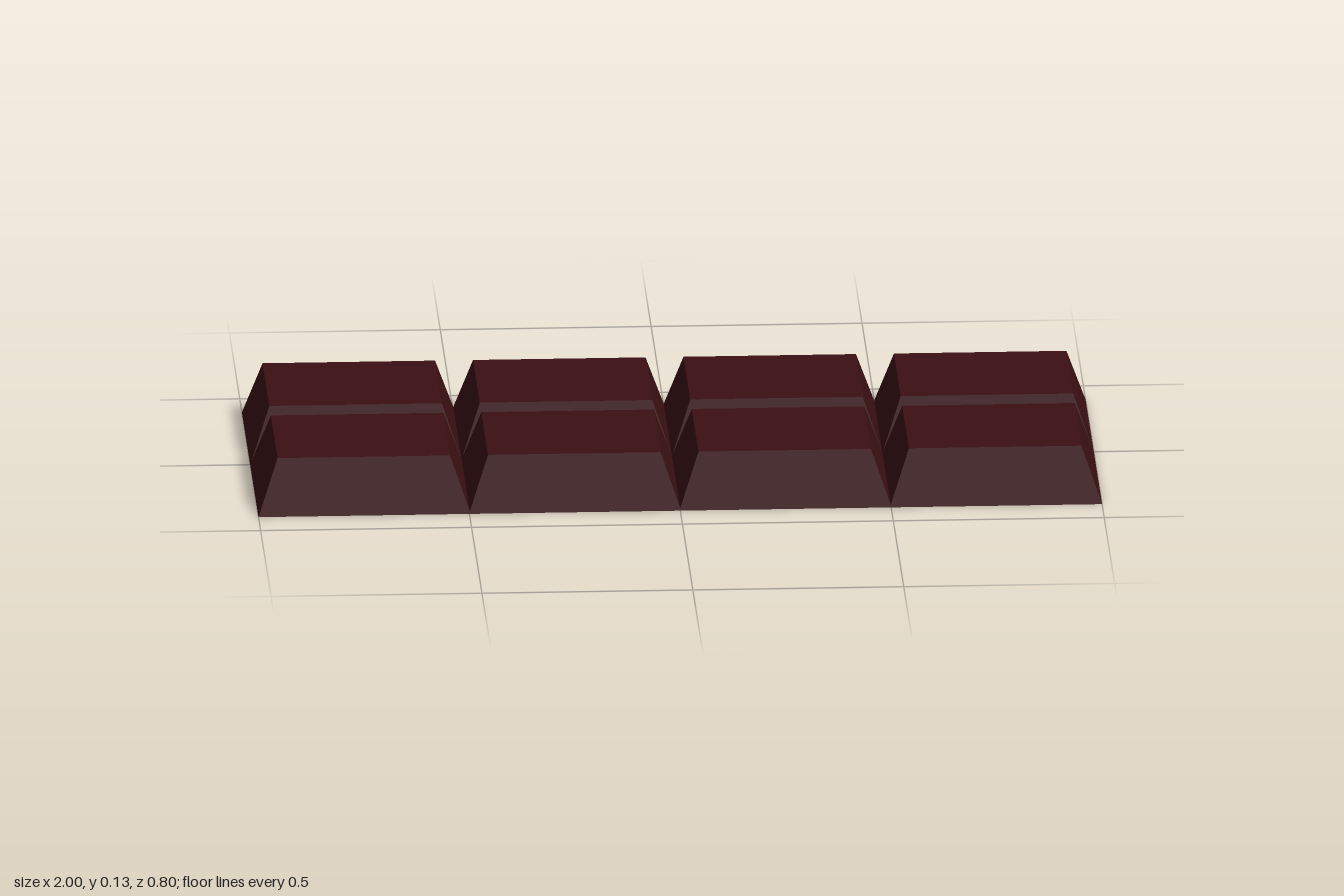
import * as THREE from 'three';

const COLS = 4, ROWS = 2;
const WIDTH = 2, DEPTH = 0.796, HEIGHT = 0.134;
const OVERLAP = 0.004;              // neighbouring squares merge at the foot of the grooves
const INSET_X = 0.047, INSET_Z = 0.038;

// One square: a box whose top face is drawn inward
function squareGeometry(w, d) {
  const geo = new THREE.BoxGeometry(w, HEIGHT, d).translate(0, HEIGHT / 2, 0);
  const pos = geo.attributes.position;
  for (let i = 0; i < pos.count; i++) {
    if (pos.getY(i) < HEIGHT / 2) continue;
    pos.setX(i, pos.getX(i) - Math.sign(pos.getX(i)) * INSET_X);
    pos.setZ(i, pos.getZ(i) - Math.sign(pos.getZ(i)) * INSET_Z);
  }
  geo.computeVertexNormals();
  return geo;
}

export function createModel() {
  const bar = new THREE.Group();
  bar.name = 'chocolateBar';
  const material = new THREE.MeshStandardMaterial({ color: 0x3b1014, flatShading: true });

  const w = (WIDTH + (COLS - 1) * OVERLAP) / COLS;
  const d = (DEPTH + (ROWS - 1) * OVERLAP) / ROWS;
  const geometry = squareGeometry(w, d);

  // Grid of squares
  for (let r = 0; r < ROWS; r++) {
    for (let c = 0; c < COLS; c++) {
      const square = new THREE.Mesh(geometry, material);
      square.name = `square${r * COLS + c + 1}`;
      square.position.set(
        (c - (COLS - 1) / 2) * (w - OVERLAP), 0,
        (r - (ROWS - 1) / 2) * (d - OVERLAP));
      bar.add(square);
    }
  }
  return bar;
}
